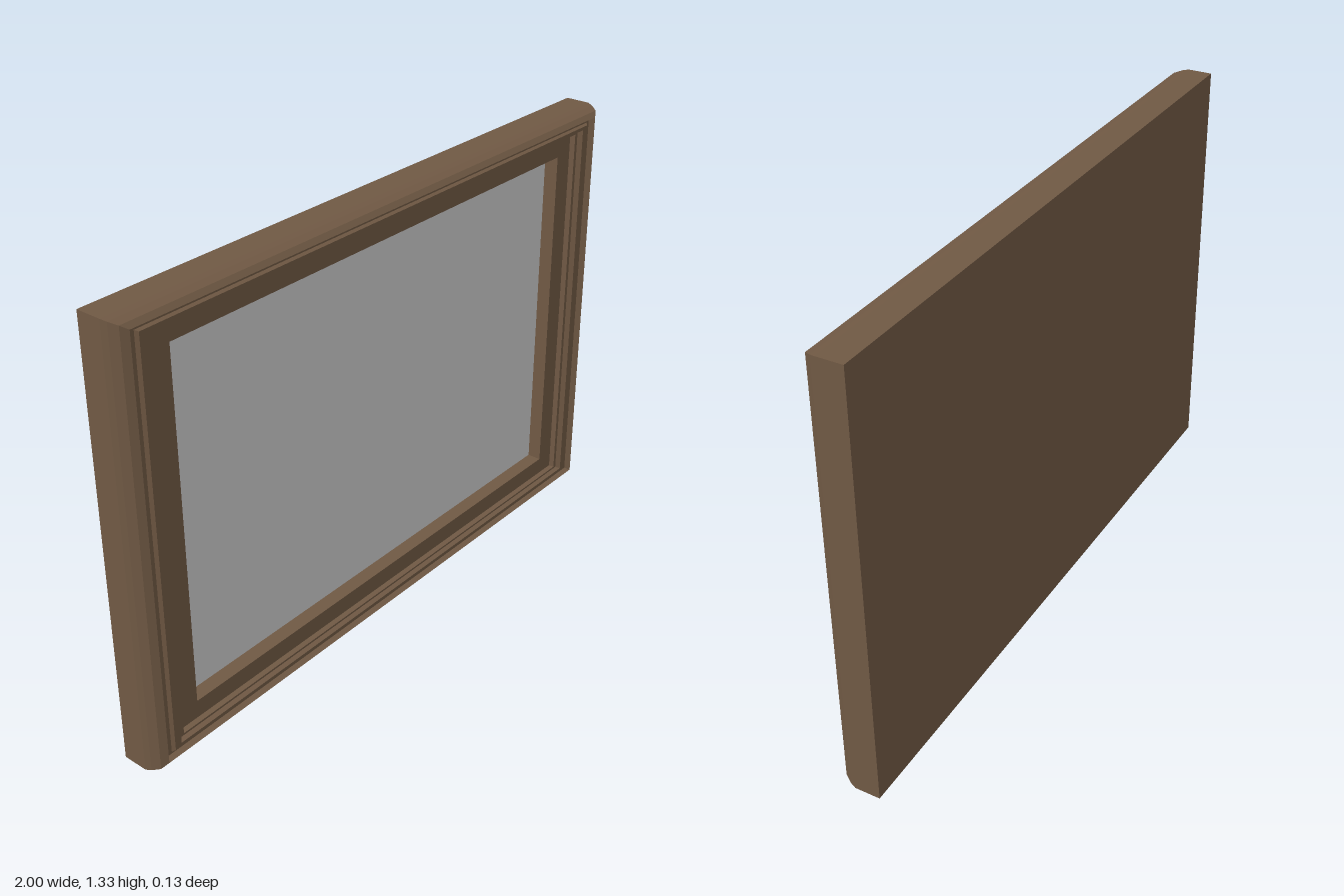
import * as THREE from 'three';

const HEIGHT = 1.333;
const BACK_Z = -0.065;
const PANEL_Z = -0.015;

// Moulding section from the back edge to the opening: [inset in x, inset in y, z]
const PROFILE = [
  [0, 0, BACK_Z], [0, 0, 0.012], [0.006, 0.004, 0.03], [0.02, 0.012, 0.053],
  [0.04, 0.026, 0.065], [0.052, 0.034, 0.05], [0.064, 0.04, 0.05],
  [0.072, 0.045, 0.058], [0.094, 0.055, 0.058], [0.104, 0.06, 0.045],
  [0.116, 0.066, 0.045], [0.121, 0.069, 0.03],
];
const BORDER = [[0.121, 0.069, 0.03], [0.185, 0.124, 0.03], [0.185, 0.124, PANEL_Z]];

// Sweeps a section round the rectangle with mitred corners and crisp facets
function mitredFrame(profile) {
  const corners = [[-1, -1], [1, -1], [1, 1], [-1, 1]];
  const at = ([dx, dy, z], [sx, sy]) =>
    [sx * (1 - dx), HEIGHT / 2 + sy * (HEIGHT / 2 - dy), z];
  const positions = [];
  for (let i = 0; i < profile.length - 1; i++) {
    for (let k = 0; k < 4; k++) {
      const next = corners[(k + 1) % 4];
      const a = at(profile[i], corners[k]);
      const b = at(profile[i], next);
      const c = at(profile[i + 1], next);
      const d = at(profile[i + 1], corners[k]);
      positions.push(...a, ...b, ...c, ...a, ...c, ...d);
    }
  }
  const geometry = new THREE.BufferGeometry();
  geometry.setAttribute('position', new THREE.Float32BufferAttribute(positions, 3));
  geometry.computeVertexNormals();
  return geometry;
}

export function createModel() {
  const group = new THREE.Group();
  group.name = 'pictureFrame';
  const wood = new THREE.MeshStandardMaterial({ color: 0x705944 });
  const grey = new THREE.MeshStandardMaterial({ color: 0xcccccc });

  const add = (name, geometry, material) => {
    const mesh = new THREE.Mesh(geometry, material);
    mesh.name = name;
    group.add(mesh);
    return mesh;
  };

  // Stepped outer moulding and the flat border inside it
  add('moulding', mitredFrame(PROFILE), wood);
  add('innerBorder', mitredFrame(BORDER), wood);

  // Picture surface recessed in the opening
  const panel = add('picturePanel', new THREE.PlaneGeometry(2 - 0.37, HEIGHT - 0.248), grey);
  panel.position.set(0, HEIGHT / 2, PANEL_Z);

  // Flat back closing the frame
  const back = add('backBoard', new THREE.PlaneGeometry(2, HEIGHT), wood);
  back.rotation.y = Math.PI;
  back.position.set(0, HEIGHT / 2, BACK_Z);

  return group;
}
